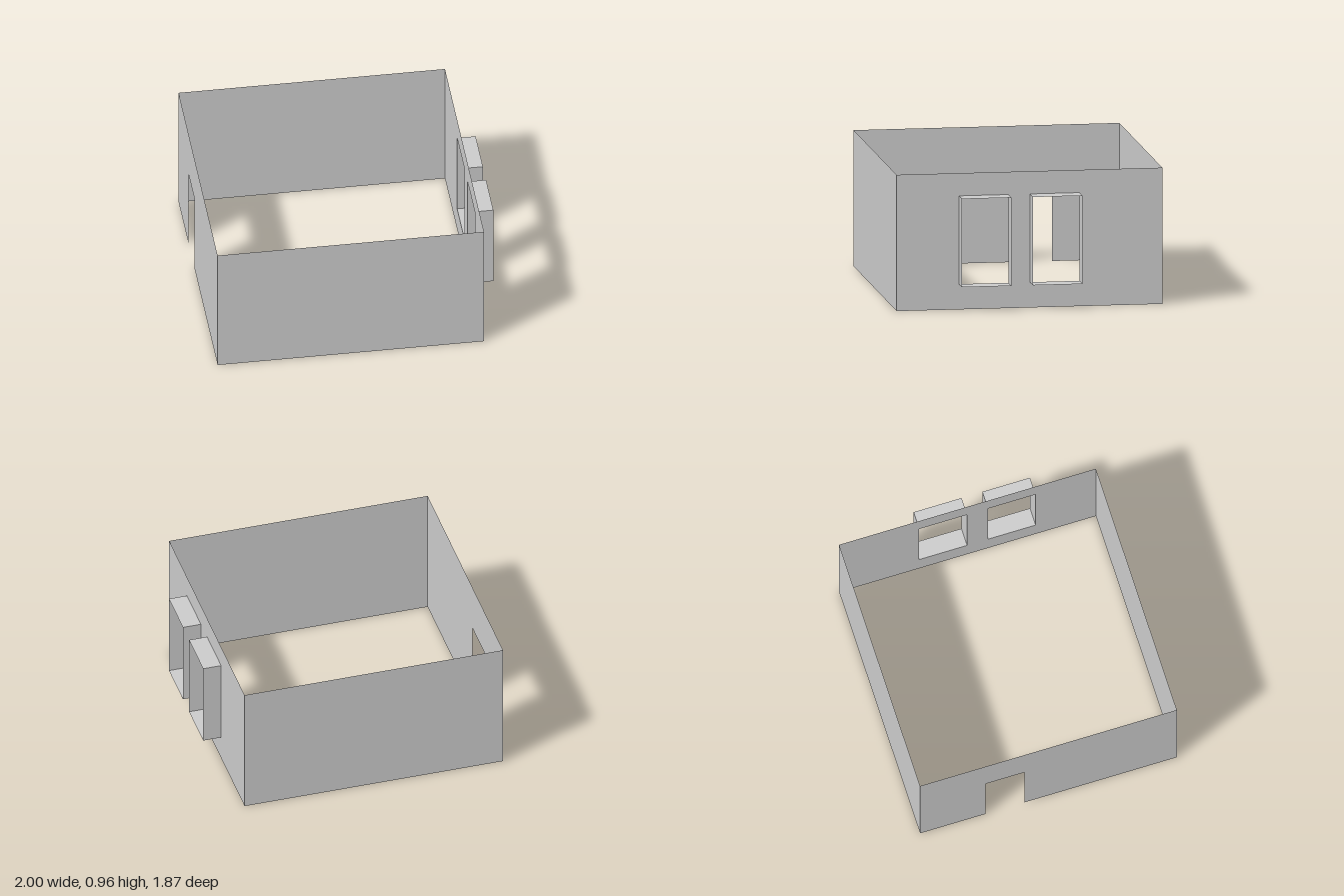
import * as THREE from 'three';

const material = new THREE.MeshStandardMaterial({ color: 0xcccccc, flatShading: true, side: THREE.DoubleSide });
const H = 0.96, X0 = -1, X1 = 0.87, Z = 0.935;
const windows = [[-0.352, -0.003], [0.149, 0.496]]; // z spans
const sill = 0.178, head = 0.8, frameDepth = 1 - X1;
const door = { z0: -0.46, z1: -0.175, top: 0.61 };

function add(parent, name, geometry) {
  const mesh = new THREE.Mesh(geometry, material);
  mesh.name = name;
  parent.add(mesh);
  return mesh;
}

const points = (list) => list.map(([a, b]) => new THREE.Vector2(a, b));

// Thin side wall drawn as (z, y), then turned into the plane of constant x
function sideWall(parent, name, shape, x) {
  const geometry = new THREE.ShapeGeometry(shape);
  geometry.rotateY(-Math.PI / 2);
  add(parent, name, geometry).position.x = x;
}

export function createModel() {
  const room = new THREE.Group();
  room.name = 'room';

  // Plain front and back walls
  for (const [name, s] of [['frontWall', 1], ['backWall', -1]]) {
    const wall = add(room, name, new THREE.PlaneGeometry(X1 - X0, H));
    wall.position.set((X0 + X1) / 2, H / 2, s * Z);
    if (s < 0) wall.rotation.y = Math.PI;
  }

  // Wall with a doorway reaching the floor
  sideWall(room, 'doorWall', new THREE.Shape(points([
    [-Z, 0], [door.z0, 0], [door.z0, door.top], [door.z1, door.top],
    [door.z1, 0], [Z, 0], [Z, H], [-Z, H],
  ])), X0);

  // Wall with two window openings
  const windowWall = new THREE.Shape(points([[-Z, 0], [Z, 0], [Z, H], [-Z, H]]));
  for (const [a, b] of windows) {
    windowWall.holes.push(new THREE.Path(points([[a, sill], [a, head], [b, head], [b, sill]])));
  }
  sideWall(room, 'windowWall', windowWall, X1);

  // Thin open frames projecting outward around the windows
  windows.forEach(([a, b], i) => {
    const frame = new THREE.Group();
    frame.name = `windowFrame${i + 1}`;
    frame.position.set(X1 + frameDepth / 2, (sill + head) / 2, (a + b) / 2);
    for (const s of [-1, 1]) {
      const jamb = add(frame, s < 0 ? 'backJamb' : 'frontJamb', new THREE.PlaneGeometry(frameDepth, head - sill));
      jamb.position.z = s * (b - a) / 2;
      if (s < 0) jamb.rotation.y = Math.PI;
      const ledge = add(frame, s < 0 ? 'sill' : 'lintel', new THREE.PlaneGeometry(frameDepth, b - a));
      ledge.position.y = s * (head - sill) / 2;
      ledge.rotation.x = -s * Math.PI / 2;
    }
    room.add(frame);
  });

  return room;
}
